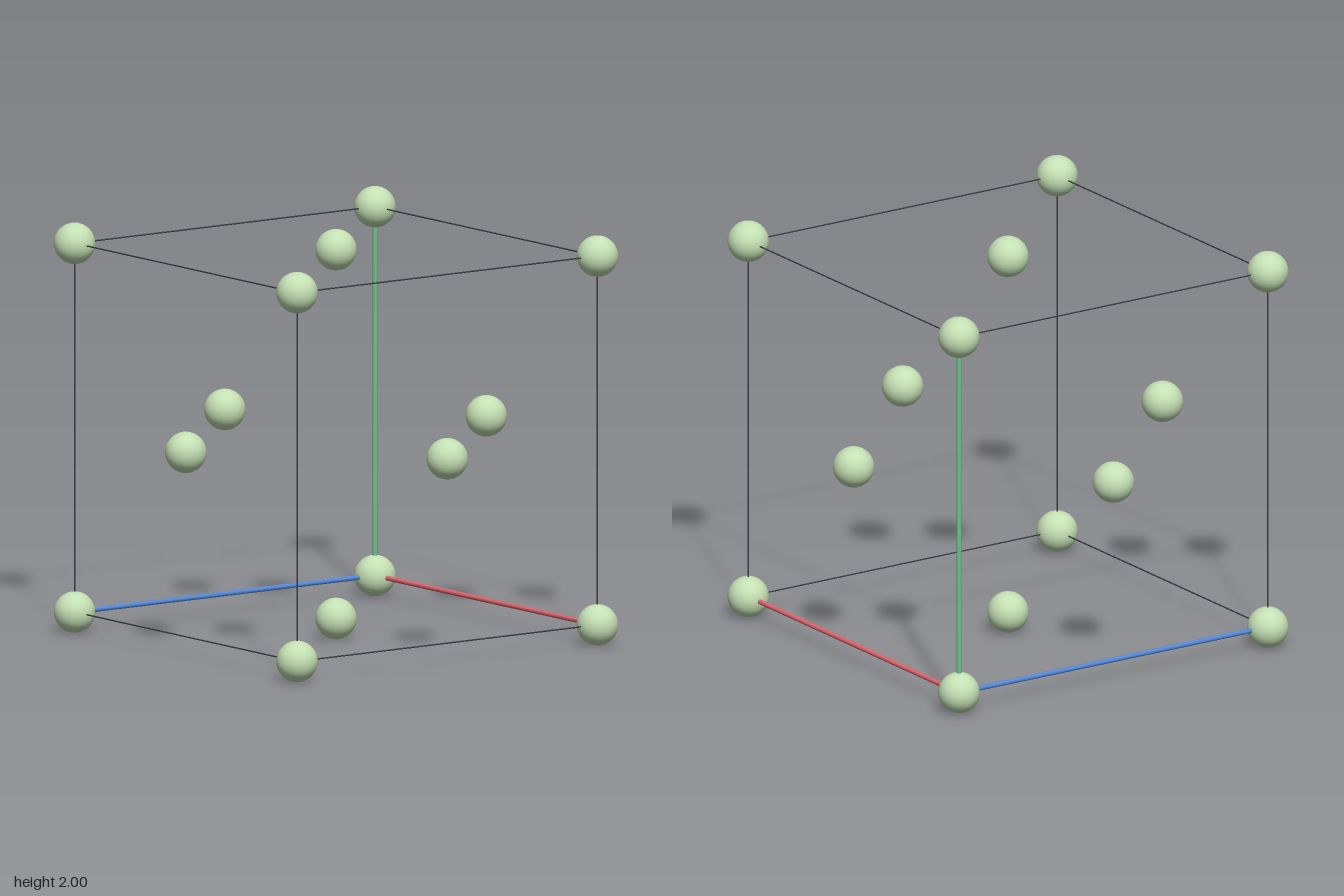
import * as THREE from 'three';

export function createModel() {
  const model = new THREE.Group();
  const mat = (name, color) => {
    const m = new THREE.MeshStandardMaterial({ color });
    m.name = name;
    return m;
  };
  const atomMat = mat('sageGreen', 0xc5e0b4);
  const edgeMat = mat('charcoal', 0x3a3f47);
  const axes = [
    { name: 'redAxis', mat: mat('red', 0xe0666e) },
    { name: 'greenAxis', mat: mat('green', 0x70c08a) },
    { name: 'blueAxis', mat: mat('blue', 0x5588d8) },
  ];
  const H = 0.9, CY = 1;

  // Atoms: cube corners and face centres
  const ball = new THREE.SphereGeometry(0.1, 40, 28);
  const addAtom = (name, x, y, z) => {
    const m = new THREE.Mesh(ball, atomMat);
    m.name = name;
    m.position.set(x * H, CY + y * H, z * H);
    model.add(m);
  };
  for (const x of [-1, 1]) for (const y of [-1, 1]) for (const z of [-1, 1]) addAtom('cornerAtom', x, y, z);
  for (const s of [-1, 1]) {
    addAtom('faceAtom', s, 0, 0);
    addAtom('faceAtom', 0, s, 0);
    addAtom('faceAtom', 0, 0, s);
  }

  // Cell edges: thin dark rods, with a thicker coloured rod along each axis from the origin corner
  const thin = new THREE.CylinderGeometry(0.0036, 0.0036, 2 * H, 8);
  const thick = new THREE.CylinderGeometry(0.012, 0.012, 2 * H, 16);
  for (let axis = 0; axis < 3; axis++) {
    for (const u of [-1, 1]) for (const v of [-1, 1]) {
      const isAxis = u < 0 && v < 0;
      const rod = new THREE.Mesh(isAxis ? thick : thin, isAxis ? axes[axis].mat : edgeMat);
      rod.name = isAxis ? axes[axis].name : 'cellEdge';
      const p = [0, 0, 0];
      p[(axis + 1) % 3] = u * H;
      p[(axis + 2) % 3] = v * H;
      rod.position.set(p[0], CY + p[1], p[2]);
      if (axis === 0) rod.rotation.z = Math.PI / 2;
      if (axis === 2) rod.rotation.x = Math.PI / 2;
      model.add(rod);
    }
  }
  return model;
}
